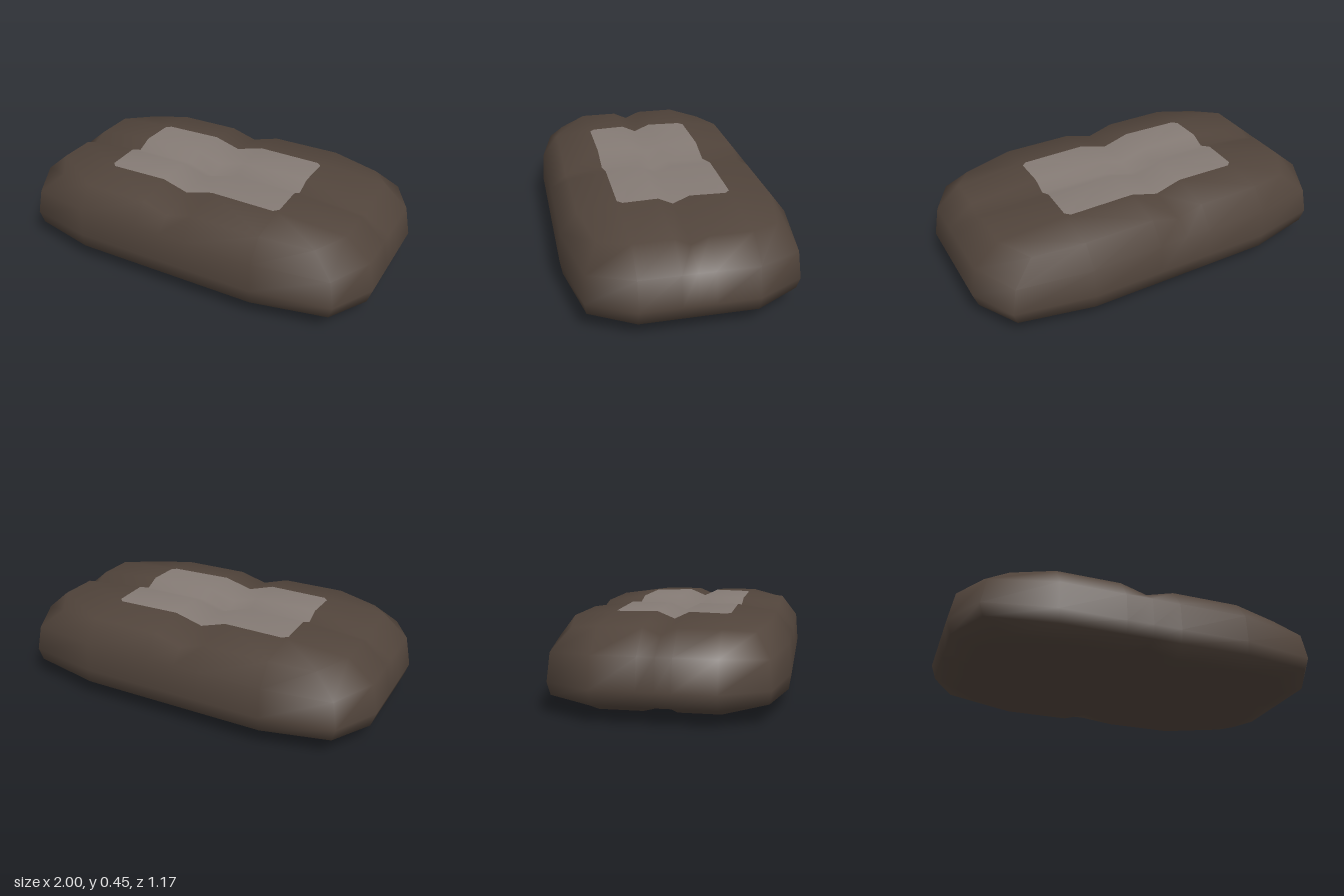
import * as THREE from 'three';

const skin = new THREE.MeshStandardMaterial({ color: 0x51443b });
skin.name = 'brown wrapping';
const pale = new THREE.MeshStandardMaterial({ color: 0x857b75 });
pale.name = 'pale label';

// Grid lines of the pillow; the middle line each way is a groove
const xs = [-0.84, -0.52, -0.18, -0.04, 0.11, 0.48, 0.84];
const zs = [-0.49, -0.28, -0.07, 0.015, 0.09, 0.29, 0.49];
const N = 6, MID = 3;

// Outline levels: y, half length, half depth, then the rounded corner's x, z, y
const levels = [
  { y: 0.42, ex: 0.84, ez: 0.49, cx: 0.74, cz: 0.435, cy: 0.395 },
  { y: 0.31, ex: 0.97, ez: 0.575, cx: 0.855, cz: 0.505, cy: 0.295 },
  { y: 0.16, ex: 1, ez: 0.587, cx: 0.88, cz: 0.515, cy: 0.16 },
  { y: 0.085, ex: 0.975, ez: 0.575, cx: 0.86, cz: 0.505, cy: 0.095 },
  { y: 0.033, ex: 0.84, ez: 0.49, cx: 0.74, cz: 0.435, cy: 0.055 },
];

const isEnd = (i) => i === 0 || i === N;
const side = (i) => (i === 0 ? -1 : 1);

function rimPoint(L, i, j) {
  if (isEnd(i) && isEnd(j)) return [side(i) * L.cx, L.cy, side(j) * L.cz];
  return isEnd(i) ? [side(i) * L.ex, L.y, zs[j]] : [xs[i], L.y, side(j) * L.ez];
}

// Point of the top (sign 1) or bottom (sign -1) face, with both grooves pressed in
function facePoint(sign, i, j) {
  const nearCorner = (i === 1 || i === N - 1) && (j === 1 || j === N - 1);
  const rim = isEnd(i) || isEnd(j);
  const p = rim
    ? rimPoint(sign > 0 ? levels[0] : levels[4], i, j)
    : [xs[i], sign > 0 ? 0.45 : 0, zs[j]];
  if (nearCorner) p[1] -= sign * 0.005;
  if (i === MID) p[1] -= sign * 0.042;
  if (j === MID) p[1] -= sign * 0.035;
  return p;
}

function pillowGeometry() {
  const points = [], skinFaces = [], labelFaces = [];
  const add = (p) => points.push(p) - 1;
  const quad = (list, a, b, c, d) => list.push(a, b, c, a, c, d);

  const makeGrid = (sign) =>
    xs.map((_, i) => zs.map((_, j) => add(facePoint(sign, i, j))));
  const top = makeGrid(1), bottom = makeGrid(-1);

  // Border indices in order around the plan outline
  const loop = [];
  for (let k = 0; k < N; k++) loop.push([k, 0]);
  for (let k = 0; k < N; k++) loop.push([N, k]);
  for (let k = N; k > 0; k--) loop.push([k, N]);
  for (let k = N; k > 0; k--) loop.push([0, k]);

  // Side walls between successive outlines
  const rings = [
    loop.map(([i, j]) => top[i][j]),
    ...levels.slice(1, 4).map((L) => loop.map(([i, j]) => add(rimPoint(L, i, j)))),
    loop.map(([i, j]) => bottom[i][j]),
  ];
  for (let r = 0; r < rings.length - 1; r++) {
    loop.forEach((_, k) => {
      const n = (k + 1) % loop.length;
      quad(skinFaces, rings[r][k], rings[r][n], rings[r + 1][n], rings[r + 1][k]);
    });
  }

  // Label cell with its outer corner cut off
  const toward = (a, b, d) => {
    const A = new THREE.Vector3(...points[a]), B = new THREE.Vector3(...points[b]);
    return add(A.lerp(B, d / A.distanceTo(B)).toArray());
  };
  const cutCell = (corner, next, opposite, prev) => {
    const p = toward(corner, next, 0.025), q = toward(corner, prev, 0.025);
    skinFaces.push(corner, p, q);
    labelFaces.push(p, next, opposite, p, opposite, q, q, opposite, prev);
  };

  // Top and bottom faces, the label filling the inner cells of the top
  for (let i = 0; i < N; i++) {
    for (let j = 0; j < N; j++) {
      const cell = [top[i][j], top[i][j + 1], top[i + 1][j + 1], top[i + 1][j]];
      const onLabel = i > 0 && i < N - 1 && j > 0 && j < N - 1;
      const labelCorner = onLabel && (i === 1 || i === N - 2) && (j === 1 || j === N - 2);
      if (labelCorner) {
        const s = i === 1 ? (j === 1 ? 0 : 1) : (j === 1 ? 3 : 2);
        cutCell(...[0, 1, 2, 3].map((k) => cell[(k + s) % 4]));
      } else {
        quad(onLabel ? labelFaces : skinFaces, ...cell);
      }
      quad(skinFaces, bottom[i][j], bottom[i + 1][j], bottom[i + 1][j + 1], bottom[i][j + 1]);
    }
  }

  const g = new THREE.BufferGeometry();
  g.setAttribute('position', new THREE.Float32BufferAttribute(points.flat(), 3));
  g.setIndex([...skinFaces, ...labelFaces]);
  g.addGroup(0, skinFaces.length, 0);
  g.addGroup(skinFaces.length, labelFaces.length, 1);
  g.computeVertexNormals();
  return g;
}

export function createModel() {
  const model = new THREE.Group();
  model.name = 'wrapped bundle';
  const pillow = new THREE.Mesh(pillowGeometry(), [skin, pale]);
  pillow.name = 'creased pillow with label';
  model.add(pillow);
  return model;
}
